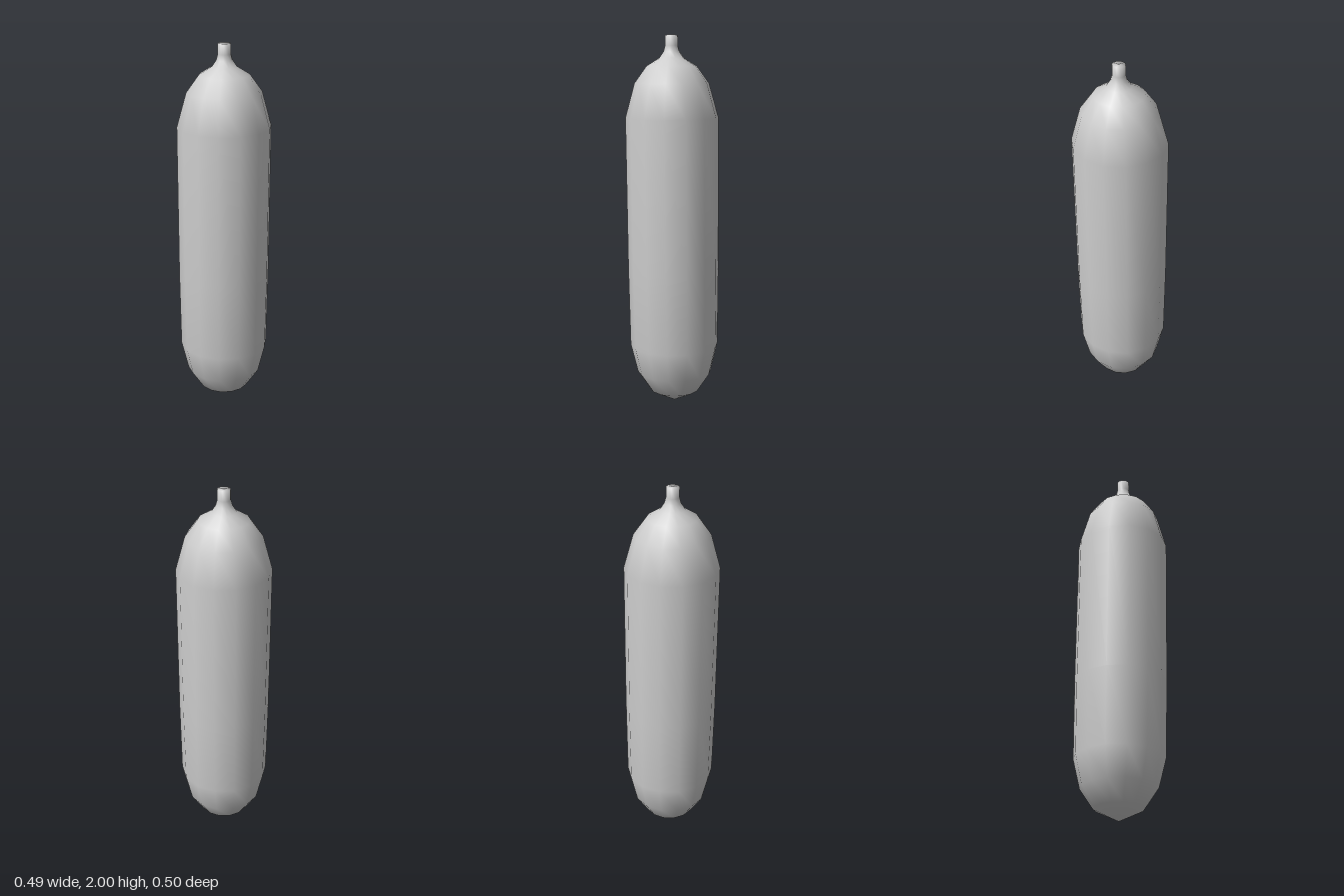
import * as THREE from 'three';

// Outline from the bottom tip to the top of the stem: [radius, height]
const PROFILE = [
  [0, 0.005], [0.132, 0.07], [0.202, 0.175], [0.239, 0.33], [0.245, 0.75],
  [0.247, 1.57], [0.197, 1.75], [0.132, 1.84], [0.064, 1.882],
  [0.042, 1.915], [0.034, 1.945], [0.034, 2.0], [0, 2.0],
];

export function createModel() {
  const group = new THREE.Group();
  group.name = 'sausage';

  // Smooth fourteen-sided body running up into a narrow stem
  const points = PROFILE.map(([r, y]) => new THREE.Vector2(r, y));
  const geometry = new THREE.LatheGeometry(points, 14, 0.08);

  // Lean the axis slightly
  const pos = geometry.attributes.position;
  for (let i = 0; i < pos.count; i++) {
    const t = pos.getY(i) - 1;
    pos.setX(i, pos.getX(i) - 0.007 * t);
    pos.setZ(i, pos.getZ(i) + 0.01 * t);
  }

  const body = new THREE.Mesh(geometry, new THREE.MeshStandardMaterial({ color: 0xcccccc }));
  body.name = 'bodyWithStem';
  group.add(body);
  return group;
}
